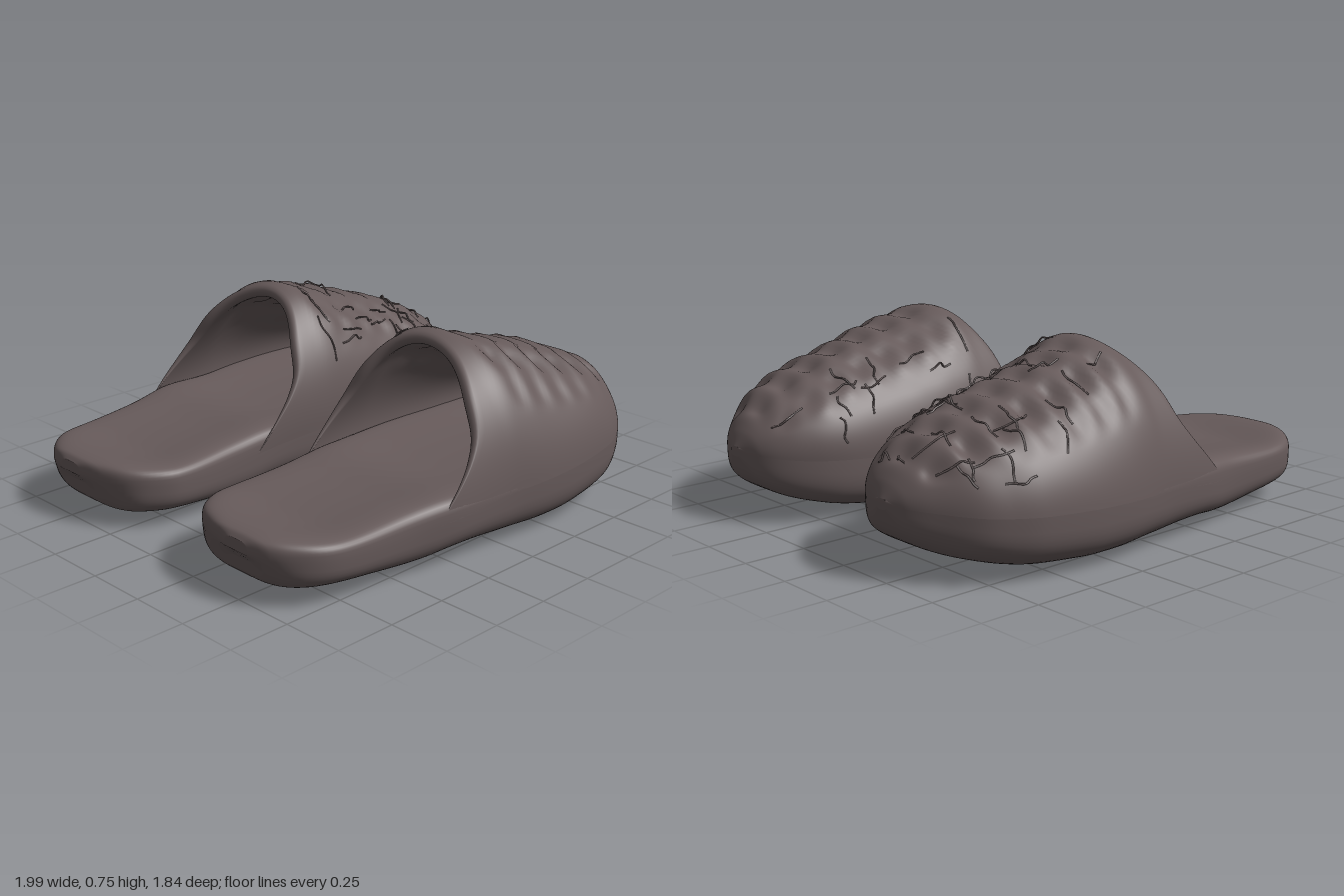
import * as THREE from 'three';
import { mergeVertices, mergeGeometries } from 'three/addons/utils/BufferGeometryUtils.js';

const { smoothstep, lerp, clamp } = THREE.MathUtils;

// Smooth interpolation through [x, value] pairs
function curve(points) {
  const n = points.length;
  const slope = (i) => {
    const a = points[Math.max(i - 1, 0)], b = points[Math.min(i + 1, n - 1)];
    return (b[1] - a[1]) / (b[0] - a[0]);
  };
  return (x) => {
    x = clamp(x, points[0][0], points[n - 1][0]);
    let i = 0;
    while (i < n - 2 && x > points[i + 1][0]) i++;
    const [x0, y0] = points[i], [x1, y1] = points[i + 1];
    const h = x1 - x0, t = (x - x0) / h, r = 1 - t;
    return y0 * r * r * (1 + 2 * t) + y1 * t * t * (3 - 2 * t)
      + h * t * r * (r * slope(i) - t * slope(i + 1));
  };
}

// Outline of one slipper along its length
const innerEdge = curve([[-1, .43], [-.98, .335], [-.93, .225], [-.85, .15], [-.75, .113], [-.45, .12], [-.25, .115],
  [0, .09], [.2, .09], [.4, .11], [.6, .13], [.7, .15], [.8, .19], [.9, .26], [.96, .34], [.99, .44]]);
const outerEdge = curve([[-1, .55], [-.98, .625], [-.93, .7], [-.85, .765], [-.75, .797], [-.45, .83], [-.25, .87],
  [0, .89], [.2, .915], [.4, .915], [.6, .885], [.7, .845], [.8, .78], [.9, .66], [.96, .57], [.99, .49]]);
const soleBottom = curve([[-1, .15], [-.98, .085], [-.9, .055], [-.7, .04], [-.45, .014], [-.25, .028], [0, .015],
  [.2, .004], [.4, .012], [.6, .03], [.8, .08], [.9, .125], [.96, .18], [.99, .26]]);
const soleTop = curve([[-1, .235], [-.98, .255], [-.9, .268], [-.7, .272], [-.45, .294], [-.25, .31],
  [0, .28], [.4, .27], [.8, .275], [.99, .3]]);
const waist = curve([[-1, .19], [-.5, .18], [0, .22], [.4, .24], [.8, .26], [.99, .28]]);
const hoodTop = curve([[-.4, .7], [0, .74], [.06, .752], [.2, .71], [.4, .645], [.6, .585], [.8, .5],
  [.9, .43], [.96, .36], [.99, .3]]);
const openingX = curve([[0, -.36], [.2, -.25], [.35, -.17], [.5, -.11], [.75, -.06], [1, .02]]);

const power = (v, p) => Math.sign(v) * Math.abs(v) ** p;
const half = (x) => (outerEdge(x) - innerEdge(x)) / 2;
const middle = (x) => (outerEdge(x) + innerEdge(x)) / 2;
const domeHeight = (angle) => Math.max(Math.sin(angle), 0) ** .93;

// Closed sole section: flat below, dished footbed above
function solePoint(x, angle, side, scale) {
  const c = Math.cos(angle), s = Math.sin(angle), low = s < 0;
  const across = power(c, low ? (c < 0 ? .38 : .58) : .55) * scale;
  const rise = power(s, .55) * scale, y0 = waist(x);
  let y = y0 + rise * (low ? y0 - soleBottom(x) : soleTop(x) - y0);
  if (!low) y -= .045 * rise * (1 - across * across) * smoothstep(x, -1, -.7) * (1 - smoothstep(x, .5, .85));
  else y += .004 * Math.abs(Math.sin(9 * x) * c);
  const tuck = low ? .03 * Math.abs(rise) * smoothstep(-x, .88, 1) : 0;
  return [x + tuck, y, side * (middle(x) + half(x) * across)];
}

// Domed hood section, moved inward by depth, with quilted dents on top
function hoodPoint(x, angle, side, depth) {
  const f = domeHeight(angle), across = Math.cos(angle), phase = x * 2 * Math.PI / .125;
  const quilt = smoothstep(f, .5, .85) * smoothstep(x, .04, .16) * (1 - smoothstep(x, .88, .97));
  const cells = (1 + Math.cos(phase)) * (1 + Math.cos(across * half(x) * 2 * Math.PI / .18)) / 2;
  const lumps = .005 * Math.sin(11 * x + 5 * across) * f * (1 - smoothstep(x, .85, .97));
  const d = depth + lumps + quilt * (.011 * cells + .006 * Math.sin(phase + 2 * across));
  const w = Math.max(half(x) - d, .01), h = Math.max(hoodTop(x) - waist(x) - d, .005);
  return [x, waist(x) + h * f, side * (middle(x) - .03 * f * smoothstep(-x, -.99, -.7) + w * across)];
}

// Surface from rows of points
function surface(rows, side) {
  const m = rows[0].length, index = [];
  for (let i = 0; i < rows.length - 1; i++) {
    for (let j = 0; j < m - 1; j++) {
      const a = i * m + j, b = a + m, c = a + 1, d = b + 1;
      if (side > 0) index.push(a, b, c, b, d, c);
      else index.push(a, c, b, b, c, d);
    }
  }
  const geometry = new THREE.BufferGeometry();
  geometry.setAttribute('position', new THREE.Float32BufferAttribute(rows.flat(2), 3));
  geometry.setIndex(index);
  const merged = mergeVertices(geometry, 1e-5);
  merged.computeVertexNormals();
  return merged;
}

function soleGeometry(side) {
  const rows = [], n = 80, m = 64;
  for (let i = -1; i <= n + 1; i++) {
    const t = clamp(i / n, 0, 1);
    const x = -.005 - .995 * Math.cos(Math.PI * t);
    const scale = i < 0 || i > n ? 0 : 1;
    rows.push(Array.from({ length: m + 1 }, (_, j) => solePoint(x, j % m / m * 2 * Math.PI, side, scale)));
  }
  return surface(rows, side);
}

// One continuous skin: lining, rolled rim, then the outside, closed at the toe
function hoodGeometry(side) {
  const m = 72, stations = [() => [.95, 1]];
  for (let i = 0; i < 24; i++) stations.push((e, thick) => [lerp(.93, e, i / 24), thick]);
  for (let i = 0; i <= 8; i++) {
    const a = Math.PI * (1 - i / 8);
    stations.push((e, thick) => [e - thick / 2 * Math.sin(a), thick / 2 * (1 - Math.cos(a))]);
  }
  for (let i = 1; i <= 80; i++) {
    const t = Math.sin(i / 80 * Math.PI / 2);
    stations.push((e) => [lerp(e, .99, t), 0]);
  }
  stations.push(() => [.99, 1]);
  const rows = stations.map((station) => Array.from({ length: m + 1 }, (_, j) => {
    const angle = Math.PI * j / m, f = domeHeight(angle);
    // The wall thins out where it runs into the footbed
    const [x, depth] = station(openingX(f), .008 + .042 * smoothstep(f, .05, .7));
    return hoodPoint(x, angle, side, depth);
  }));
  return surface(rows, side);
}

// Loose yarn ends wandering over the hood
function yarnGeometry(side, count, angleMin, angleMax, seed) {
  const random = () => (seed = (seed * 16807) % 2147483647) / 2147483647;
  const strands = [];
  for (let k = 0; k < count; k++) {
    let x = .06 + random() * .86, angle = angleMin + random() * (angleMax - angleMin);
    const points = [], crosswise = random() < .6;
    for (let i = 0; i < 5; i++) {
      const lift = i === 2 ? -.006 - .014 * random() : -.002;
      points.push(new THREE.Vector3(...hoodPoint(Math.min(x, .97), angle, side, lift)));
      x += crosswise ? (random() - .5) * .03 : .015 + random() * .03;
      angle += crosswise ? .05 + random() * .08 : (random() - .5) * .1;
    }
    strands.push(new THREE.TubeGeometry(new THREE.CatmullRomCurve3(points), 14, .0038, 5));
  }
  return mergeGeometries(strands);
}

export function createModel() {
  const wool = new THREE.MeshStandardMaterial({ color: 0x665a5a });
  wool.name = 'greyBrownWool';
  const model = new THREE.Group();
  model.name = 'slippers';

  for (const side of [1, -1]) {
    const slipper = new THREE.Group();
    slipper.name = side > 0 ? 'frontSlipper' : 'backSlipper';
    const add = (name, geometry) => {
      const mesh = new THREE.Mesh(geometry, wool);
      mesh.name = name;
      slipper.add(mesh);
    };
    add('sole', soleGeometry(side));
    add('hood', hoodGeometry(side));
    add('looseYarn', side > 0 ? yarnGeometry(side, 12, 1.9, 2.6, 77) : yarnGeometry(side, 40, .35, 2.6, 4321));
    model.add(slipper);
  }
  return model;
}
